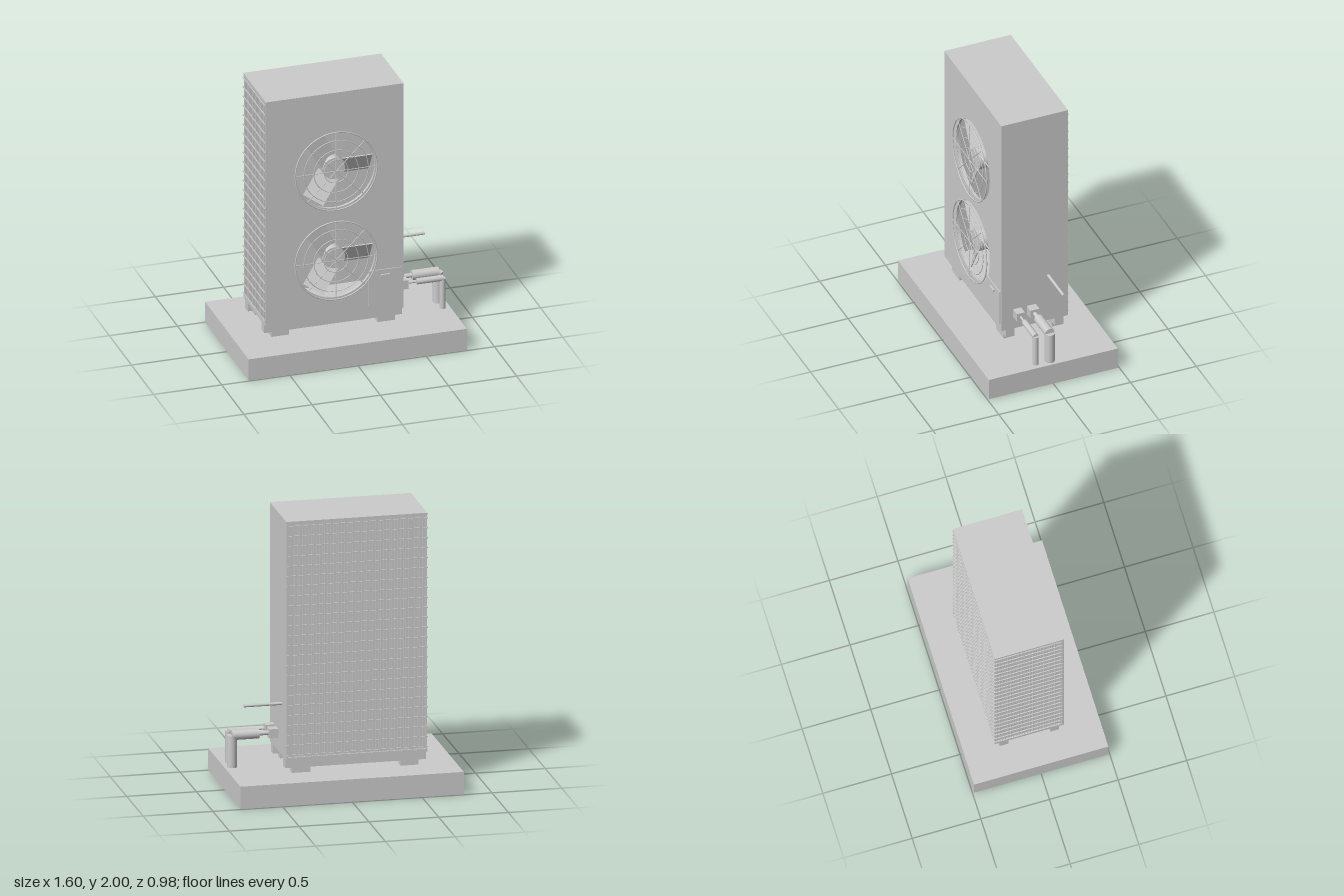
import * as THREE from 'three';

const material = new THREE.MeshStandardMaterial({ color: 0xcccccc });

function add(parent, name, geometry, x = 0, y = 0, z = 0) {
  const mesh = new THREE.Mesh(geometry, material);
  mesh.name = name;
  mesh.position.set(x, y, z);
  parent.add(mesh);
  return mesh;
}

// Box given by its limits along each axis
function box(parent, name, x0, x1, y0, y1, z0, z1) {
  return add(parent, name, new THREE.BoxGeometry(x1 - x0, y1 - y0, z1 - z0),
    (x0 + x1) / 2, (y0 + y1) / 2, (z0 + z1) / 2);
}

// Horizontal cylinder along x
function pipeX(parent, name, x0, x1, y, z, r) {
  add(parent, name, new THREE.CylinderGeometry(r, r, x1 - x0, 20).rotateZ(Math.PI / 2), (x0 + x1) / 2, y, z);
}

function group(parent, name) {
  const g = new THREE.Group();
  g.name = name;
  parent.add(g);
  return g;
}

// Cabinet limits
const L = -0.59, R = 0.42, B = 0.265, T = 2, BACK = -0.275, FRONT = 0.23;
const FAN_X = -0.082, FAN_Y = [0.715, 1.405], FAN_R = 0.295;

function buildCabinet(root) {
  const cabinet = group(root, 'cabinet');
  // Front panel with two round fan openings
  const shape = new THREE.Shape([[L, B], [R, B], [R, T], [L, T]].map(p => new THREE.Vector2(...p)));
  for (const y of FAN_Y) shape.holes.push(new THREE.Path().absarc(FAN_X, y, FAN_R, 0, Math.PI * 2, true));
  add(cabinet, 'frontPanel',
    new THREE.ExtrudeGeometry(shape, { depth: 0.02, bevelEnabled: false, curveSegments: 40 }), 0, 0, FRONT - 0.02);
  box(cabinet, 'sidePanel', R - 0.015, R, B, T, BACK, FRONT - 0.02);
  box(cabinet, 'topCover', L, R - 0.015, T - 0.02, T, BACK, FRONT - 0.02);
  box(cabinet, 'basePan', L, R - 0.015, B, B + 0.02, BACK, FRONT - 0.02);
  // Service cover and its handle
  box(cabinet, 'serviceCover', 0.165, 0.4, 0.315, 0.585, FRONT, FRONT + 0.007);
  box(cabinet, 'serviceHandle', 0.25, 0.315, 0.533, 0.551, FRONT + 0.007, FRONT + 0.02);
}

function buildCoil(root) {
  const coil = group(root, 'coil');
  const y0 = B + 0.02, y1 = T - 0.02, depth = 0.015;
  box(coil, 'backCore', L + depth, R - 0.015, y0, y1, BACK + depth, BACK + 0.035);
  box(coil, 'sideCore', L + depth, L + 0.035, y0, y1, BACK + 0.035, FRONT - 0.02);
  // Upright fins around the back and the side
  const pitch = 0.02;
  for (let x = L + 0.01; x < R - 0.02; x += pitch)
    box(coil, 'backFin', x - 0.002, x + 0.002, y0, y1, BACK, BACK + depth);
  for (let z = BACK + 0.02; z < FRONT - 0.02; z += pitch)
    box(coil, 'sideFin', L, L + depth, y0, y1, z - 0.002, z + 0.002);
  // Guard wires laid across the fins
  const rows = 24;
  for (let i = 0; i < rows; i++) {
    const y = B + (T - B) * (i + 0.5) / rows;
    box(coil, 'backWire', L - 0.004, R, y - 0.004, y + 0.004, BACK - 0.004, BACK + 0.004);
    box(coil, 'sideWire', L - 0.004, L + 0.004, y - 0.004, y + 0.004, BACK + 0.004, FRONT - 0.01);
  }
}

function buildFan(root, y) {
  const fan = group(root, 'fan');
  fan.position.set(FAN_X, y, 0);
  // Hub and motor
  const hub = new THREE.CylinderGeometry(0.08, 0.08, 0.08, 32).rotateX(Math.PI / 2);
  add(fan, 'hub', hub, 0, 0, 0.17);
  add(fan, 'motor', new THREE.CylinderGeometry(0.05, 0.05, 0.37, 24).rotateX(Math.PI / 2), 0, 0, -0.055);
  // Three pitched blades
  for (let i = 0; i < 3; i++) {
    const arm = group(fan, 'blade');
    arm.position.z = 0.17;
    arm.rotation.z = i * Math.PI * 2 / 3;
    add(arm, 'bladePlate', new THREE.BoxGeometry(0.22, 0.16, 0.008), 0.17).rotation.x = 0.5;
  }
  // Guard of rings and spokes
  const guard = group(fan, 'fanGuard');
  guard.position.z = 0.256;
  [[0.3, 0.005], [0.236, 0.003], [0.163, 0.003], [0.088, 0.003]].forEach(([r, t]) =>
    add(guard, 'guardRing', new THREE.TorusGeometry(r, t, 8, 56)));
  for (let i = 0; i < 4; i++) {
    const spoke = new THREE.CylinderGeometry(0.003, 0.003, 0.6, 8);
    add(guard, 'guardSpoke', spoke).rotation.z = i * Math.PI / 4;
  }
}

// Valve block, bare pipe, insulated run and drop into the slab
function buildLine(root, z, blockHalf, bare, r) {
  const line = group(root, 'refrigerantLine');
  const y = 0.394, xEnd = 0.745;
  box(line, 'valveBlock', R, 0.486, y - 0.033, y + 0.033, z - blockHalf, z + blockHalf);
  pipeX(line, 'barePipe', 0.486, 0.56, y, z, bare);
  pipeX(line, 'insulatedRun', 0.553, 0.748, y, z, r);
  add(line, 'insulatedDrop', new THREE.CylinderGeometry(r, r, y - 0.16, 20), xEnd, (y + 0.16) / 2, z);
}

export function createModel() {
  const root = new THREE.Group();
  root.name = 'outdoorUnit';

  box(root, 'slab', -0.8, 0.8, 0, 0.163, -0.49, 0.49);
  // Two rails on four foot pads
  for (const [z0, z1] of [[-0.24, -0.176], [0.13, 0.194]]) {
    box(root, 'rail', L, R, 0.2, B, z0, z1);
    for (const x of [-0.471, 0.306]) box(root, 'footPad', x - 0.065, x + 0.065, 0.163, 0.2, z0, z1);
  }

  buildCabinet(root);
  buildCoil(root);
  FAN_Y.forEach(y => buildFan(root, y));

  buildLine(root, 0.004, 0.034, 0.016, 0.036);
  buildLine(root, 0.111, 0.03, 0.008, 0.022);
  pipeX(root, 'drainPipe', R, 0.69, 0.64, -0.127, 0.011);
  return root;
}
